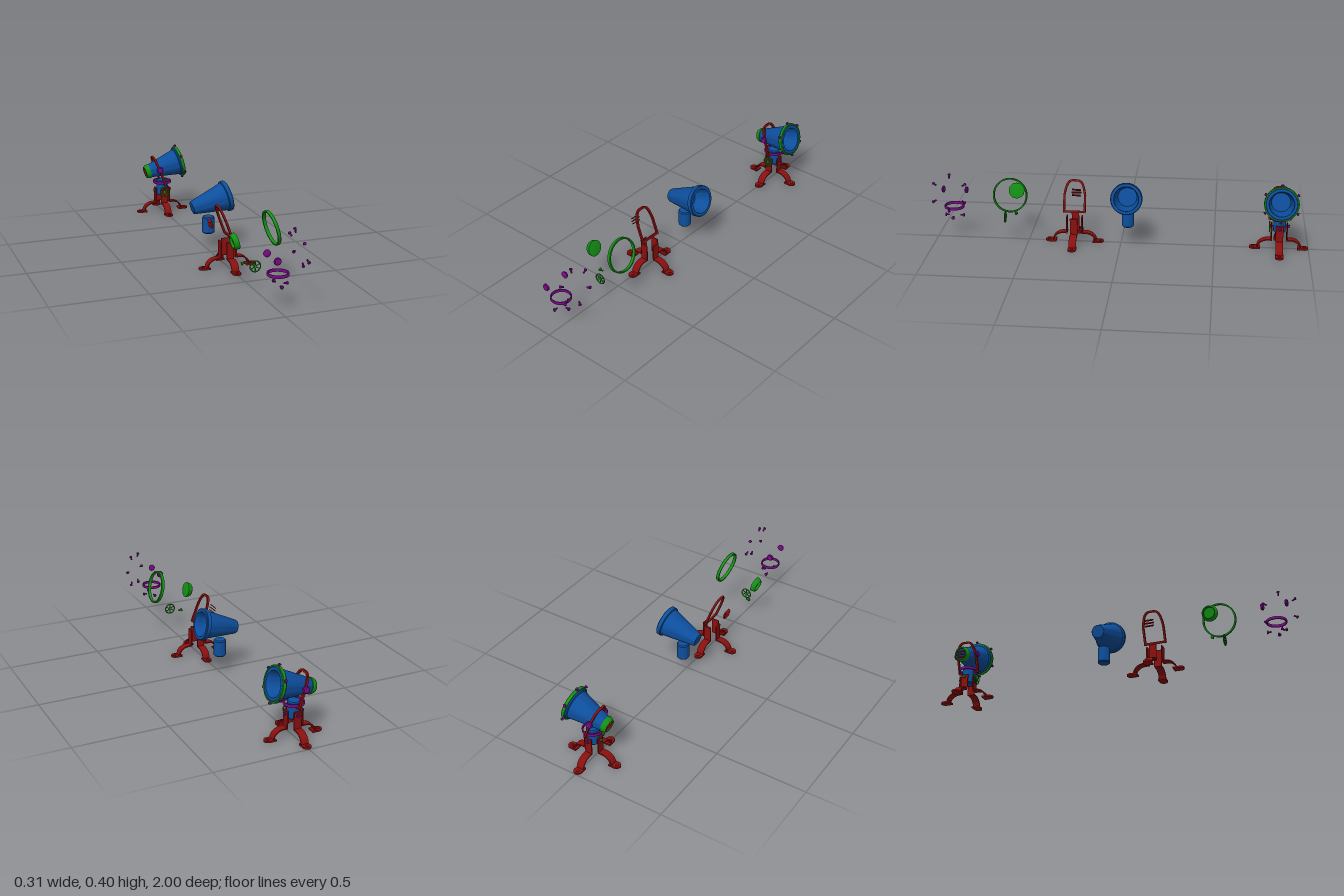
import * as THREE from 'three';
import { toCreasedNormals } from 'three/addons/utils/BufferGeometryUtils.js';

const material = (color) => new THREE.MeshStandardMaterial({ color, side: THREE.DoubleSide });
const BLUE = material(0x0d4f9e), RED = material(0x8b0f0f), GREEN = material(0x149014), PURPLE = material(0x7d0a8a);

function add(parent, name, geometry, mat, x = 0, y = 0, z = 0) {
  const mesh = new THREE.Mesh(geometry, mat);
  mesh.name = name;
  mesh.position.set(x, y, z);
  parent.add(mesh);
  return mesh;
}

function group(parent, name, x = 0, y = 0, z = 0) {
  const g = new THREE.Group();
  g.name = name;
  g.position.set(x, y, z);
  parent?.add(g);
  return g;
}

// Revolved profile of [radius, height] pairs, sharp edges kept
const turned = (points, sides = 48) => toCreasedNormals(
  new THREE.LatheGeometry(points.map(([r, h]) => new THREE.Vector2(r, h)), sides), 0.6);

// The same, with its axis along +x
const turnedX = (points, sides) => turned(points, sides).rotateZ(-Math.PI / 2);

const extruded = (shape, depth) => toCreasedNormals(
  new THREE.ExtrudeGeometry(shape, { depth, bevelEnabled: false, curveSegments: 14 }), 0.6);

// Tilted frame shared by the drum, its rings and its screws
function tilted(parent, name) {
  const g = group(parent, name, -0.03, 0.2625);
  const frame = group(g, name + 'Axis', 0, -0.002);
  g.rotation.z = THREE.MathUtils.degToRad(14);
  return frame;
}

// Screw lying along +y, head at the far end
const screwGeometry = (length, head = 0.009) => turned([
  [0, 0], [0.0045, 0], [0.0045, length - 0.009], [head - 0.001, length - 0.008],
  [head, length - 0.006], [head, length - 0.002], [head - 0.002, length], [0, length]], 20);

function blueParts() {
  const g = group(null, 'bodyParts');
  // Hollow lamp drum with a front flange
  add(tilted(g, 'drum'), 'lampDrum', turnedX([
    [0, -0.064], [0.034, -0.064], [0.037, -0.058], [0.076, 0.121], [0.084, 0.124], [0.084, 0.144],
    [0.080, 0.147], [0.066, 0.147], [0.063, 0.142], [0.063, 0.118], [0.050, 0.06], [0, 0.06]]), BLUE);
  // Upright post
  add(g, 'post', turned([
    [0, 0.098], [0.028, 0.098], [0.033, 0.104], [0.033, 0.184], [0.028, 0.19], [0, 0.19]], 36), BLUE);
  return g;
}

function redParts() {
  const g = group(null, 'frameParts');

  // Four bent-strip legs with rounded feet
  const strip = new THREE.Shape();
  strip.moveTo(0.038, 0.145);
  strip.lineTo(0.038, 0.050);
  strip.lineTo(0.060, 0.050);
  strip.absellipse(0.060, 0.004, 0.052, 0.046, Math.PI / 2, 0, true);
  strip.lineTo(0.118, 0.004);
  strip.absellipse(0.060, 0.004, 0.058, 0.052, 0, Math.PI / 2, false);
  strip.lineTo(0.044, 0.056);
  strip.lineTo(0.044, 0.142);
  strip.closePath();
  const legGeometry = extruded(strip, 0.04).translate(0, 0, -0.02);

  const sole = new THREE.Shape();
  sole.moveTo(0.099, -0.022);
  sole.lineTo(0.135, -0.022);
  sole.absarc(0.135, 0, 0.022, -Math.PI / 2, Math.PI / 2, false);
  sole.lineTo(0.099, 0.022);
  sole.closePath();
  const soleGeometry = extruded(sole, 0.009).rotateX(-Math.PI / 2);
  const boltGeometry = turned([[0, 0], [0.009, 0], [0.009, 0.004], [0.006, 0.006], [0, 0.006]], 16);

  for (let i = 0; i < 4; i++) {
    const leg = group(g, 'leg');
    leg.rotation.y = i * Math.PI / 2;
    add(leg, 'legStrip', legGeometry, RED);
    add(leg, 'foot', soleGeometry, RED);
    add(leg, 'footBolt', boltGeometry, RED, 0.137, 0.008);
  }

  // Leaning yoke: one closed loop around the drum
  const loop = (shape, w, bottom, top) => {
    shape.moveTo(-w, bottom);
    shape.lineTo(w, bottom);
    shape.lineTo(w, -0.01);
    shape.bezierCurveTo(w - 0.006, 0.025, w - 0.012, top, 0.012, top);
    shape.lineTo(-0.012, top);
    shape.bezierCurveTo(-w + 0.012, top, -w + 0.006, 0.025, -w, -0.01);
    shape.closePath();
    return shape;
  };
  const band = loop(new THREE.Shape(), 0.061, -0.104, 0.076);
  band.holes.push(loop(new THREE.Path(), 0.050, -0.092, 0.065));
  const yoke = add(group(g, 'yokeMount', -0.03, 0.2625), 'yoke',
    extruded(band, 0.011).translate(0, 0, -0.0055).rotateY(Math.PI / 2), RED);
  yoke.rotation.z = THREE.MathUtils.degToRad(20.4);

  // Vent slats inside the tail cap
  const vent = tilted(g, 'vent');
  for (const [i, width] of [0.046, 0.052, 0.046].entries()) {
    const slat = add(vent, 'ventSlat', new THREE.BoxGeometry(0.016, 0.005, width), RED, -0.068, (i - 1) * 0.015 - 0.002);
    slat.rotation.z = 0.5;
  }
  return g;
}

function greenParts() {
  const g = group(null, 'trimParts');
  const drum = tilted(g, 'drumTrim');
  // Front ring
  add(drum, 'frontRing', turnedX([
    [0.083, 0.131], [0.091, 0.131], [0.091, 0.146], [0.089, 0.148], [0.083, 0.148], [0.083, 0.131]], 64), GREEN);
  // Cupped tail cap
  add(drum, 'tailCap', turnedX([
    [0, -0.063], [0.029, -0.063], [0.029, -0.076], [0.033, -0.077],
    [0.039, -0.068], [0.0425, -0.054], [0.0425, -0.050], [0.038, -0.049], [0, -0.049]]), GREEN);

  // Spoked hand wheel on the front
  const wheel = group(g, 'handWheel', 0, 0.124, 0.052);
  add(wheel, 'wheelRim', new THREE.TorusGeometry(0.0275, 0.0032, 10, 40), GREEN);
  add(wheel, 'wheelHub', new THREE.CylinderGeometry(0.008, 0.008, 0.007, 20).rotateX(Math.PI / 2), GREEN);
  const spoke = new THREE.BoxGeometry(0.004, 0.022, 0.004).translate(0, 0.016, 0);
  for (let i = 0; i < 6; i++) add(wheel, 'wheelSpoke', spoke, GREEN).rotation.z = i * Math.PI / 3;

  // Screw on the right side of the post
  add(g, 'sideScrew', screwGeometry(0.022).rotateZ(Math.PI / 2), GREEN, -0.031, 0.128);
  return g;
}

function purpleParts() {
  const g = group(null, 'fastenerParts');
  // Collar on top of the post
  add(g, 'collar', turned([
    [0.047, 0.172], [0.0525, 0.172], [0.0535, 0.174], [0.0535, 0.185], [0.0525, 0.187], [0.047, 0.187], [0.047, 0.172]]), PURPLE);

  // Pivot knobs on both sides of the yoke
  const knob = turned([
    [0, 0], [0.012, 0], [0.0185, 0.004], [0.0185, 0.010], [0.015, 0.015], [0, 0.016]], 28);
  for (const side of [1, -1])
    add(g, 'pivotKnob', knob, PURPLE, -0.03, 0.2625, side * 0.055).rotation.x = side * Math.PI / 2;

  // Radial screws around the front ring
  const ring = tilted(g, 'ringScrews');
  const radial = screwGeometry(0.024, 0.008).translate(0, 0.079, 0);
  for (let i = 0; i < 6; i++)
    add(ring, 'ringScrew', radial, PURPLE, 0.139).rotation.x = i * Math.PI / 3;

  // Post screws on the left, front and back
  const side = screwGeometry(0.022).rotateZ(-Math.PI / 2).translate(0.031, 0.128, 0);
  for (const turn of [0, 1, 3])
    add(g, 'postScrew', side, PURPLE).rotation.y = turn * Math.PI / 2;
  return g;
}

export function createModel() {
  const model = group(null, 'spotlightKit');
  const assembled = group(model, 'assembledSpotlight', 0, 0, -0.843);
  // Every colour set stands once alone and once in the assembled lamp
  const sets = [[blueParts(), -0.037], [redParts(), 0.251], [greenParts(), 0.576], [purpleParts(), 0.903]];
  for (const [set, z] of sets) {
    assembled.add(set.clone());
    set.position.z = z;
    model.add(set);
  }
  return model;
}
